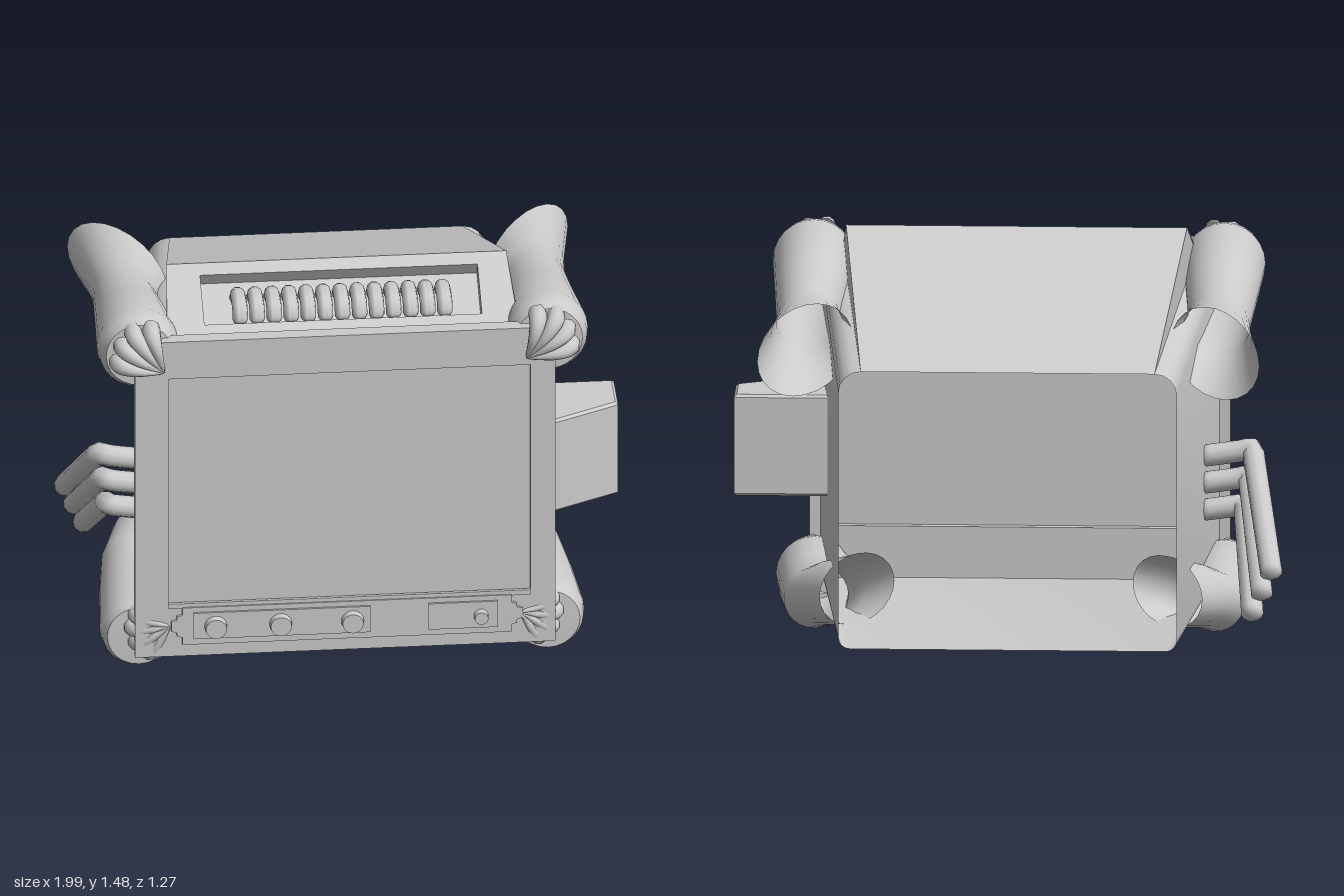
import * as THREE from 'three';
import { toCreasedNormals } from 'three/addons/utils/BufferGeometryUtils.js';

const mat = new THREE.MeshStandardMaterial({ color: 0xcccccc, side: THREE.DoubleSide });
const V = (x, y, z) => new THREE.Vector3(x, y, z);

// Skin a surface over rows of points
function loft(rows, crease = 0.7) {
  const n = rows[0].length, idx = [];
  for (let i = 0; i < rows.length - 1; i++) for (let j = 0; j < n - 1; j++) {
    const a = i * n + j, b = a + 1, c = a + n, d = c + 1;
    idx.push(a, c, b, b, c, d);
  }
  const g = new THREE.BufferGeometry().setFromPoints(rows.flat());
  g.setIndex(idx);
  return toCreasedNormals(g, crease);
}

// Round sweep along a curve, radius given by a function of 0..1
function sweep(points, radius, steps = 16, sides = 10, tension = 0.5) {
  const curve = new THREE.CatmullRomCurve3(points, false, 'catmullrom', tension);
  const fr = curve.computeFrenetFrames(steps);
  const rows = [];
  for (let i = 0; i <= steps; i++) {
    const p = curve.getPointAt(i / steps), r = radius(i / steps), row = [];
    for (let j = 0; j <= sides; j++) {
      const a = j / sides * Math.PI * 2;
      row.push(p.clone().addScaledVector(fr.normals[i], Math.cos(a) * r).addScaledVector(fr.binormals[i], Math.sin(a) * r));
    }
    rows.push(row);
  }
  return loft(rows, 1.2);
}

// Limb from circles [x, y, z, radius, shear]; shear slants the open end
function limb(rings, s) {
  return loft(rings.map(([x, y, z, r, k = 0]) => Array.from({ length: 25 }, (_, j) => {
    const a = j / 24 * Math.PI * 2, c = Math.cos(a) * r;
    return V(s * (x + c), y + Math.sin(a) * r, z - c * k);
  })), 0.9);
}

// Open-topped body cross-section with rounded corners
function section(w, wTop, bottom, top, z) {
  const half = [], rt = w - wTop, rb = 0.04;
  for (let i = 0; i <= 4; i++) {
    const a = Math.PI / 2 * (1 - i / 4);
    half.push(V(wTop + rt * Math.cos(a), top - rt + rt * Math.sin(a), z));
  }
  for (let i = 0; i <= 4; i++) {
    const a = -Math.PI / 2 * i / 4;
    half.push(V(w - rb + rb * Math.cos(a), bottom + rb + rb * Math.sin(a), z));
  }
  return [...half, ...half.map(p => V(-p.x, p.y, p.z)).reverse()];
}

const rect = (T, x0, y0, x1, y1) => new T().moveTo(x0, y0).lineTo(x1, y0).lineTo(x1, y1).lineTo(x0, y1).closePath();

export function createModel() {
  const root = new THREE.Group();
  const model = new THREE.Group();
  model.name = 'cabinet';
  model.position.x = -0.02;
  root.add(model);
  const add = (name, geo, x = 0, y = 0, z = 0, parent = model) => {
    const m = new THREE.Mesh(geo, mat);
    m.name = name;
    m.position.set(x, y, z);
    parent.add(m);
    return m;
  };
  const box = (name, w, h, d, x, y, z, parent) => add(name, new THREE.BoxGeometry(w, h, d), x, y, z, parent);

  // Body shell, open at the back
  add('bodyShell', loft([section(0.61, 0.53, 0.12, 1.147, -0.64), section(0.72, 0.64, 0.11, 1.33, 0.54)], 0.5));

  // Sloping roof, hood sides and ledge behind the front frame
  add('roof', loft([[V(-0.53, 1.147, -0.64), V(0.53, 1.147, -0.64)], [V(-0.615, 1.49, 0.21), V(0.615, 1.49, 0.21)]]));
  for (const s of [1, -1]) {
    add('hoodSide', loft([
      [V(s * 0.53, 1.147, -0.64), V(s * 0.615, 1.49, 0.21)],
      [V(s * 0.64, 1.33, 0.54), V(s * 0.64, 1.33, 0.5)]]));
  }
  add('hoodLedge', loft([[V(-0.64, 1.33, 0.5), V(0.64, 1.33, 0.5)], [V(-0.64, 1.33, 0.55), V(0.64, 1.33, 0.55)]]));

  // Hood front with a recessed vent
  const hood = new THREE.Group();
  hood.name = 'hoodFront';
  hood.position.set(0, 1.49, 0.21);
  hood.rotation.x = -Math.atan2(0.29, 0.16);
  model.add(hood);
  const face = new THREE.Shape().moveTo(-0.615, 0).lineTo(-0.64, -0.331).lineTo(0.64, -0.331).lineTo(0.615, 0).closePath();
  face.holes.push(rect(THREE.Path, -0.5, -0.27, 0.51, -0.05));
  add('hoodPanel', new THREE.ShapeGeometry(face), 0, 0, 0, hood);
  box('ventFloor', 1.01, 0.22, 0.006, 0.005, -0.16, -0.06, hood);
  for (const y of [-0.05, -0.27]) box('ventWall', 1.01, 0.006, 0.06, 0.005, y, -0.03, hood);
  for (const x of [-0.5, 0.51]) box('ventWall', 0.006, 0.22, 0.06, x, -0.16, -0.03, hood);

  // Row of curved vent ribs
  const cap = (r, e) => u => (u === 0 || u === 1) ? 0 : r * Math.min(1, Math.sqrt(Math.min(u, 1 - u) / e));
  const ribGeo = sweep([V(0, 1.35, 0.285), V(0, 1.4, 0.295), V(0, 1.408, 0.35), V(0, 1.395, 0.4), V(0, 1.34, 0.42)], cap(0.028, 0.08), 20);
  for (let i = 0; i < 13; i++) add('ventRib', ribGeo, -0.365 + i * 0.0617);

  // Front frame with an inset screen
  const frame = rect(THREE.Shape, -0.76, 0.09, 0.76, 1.37);
  frame.holes.push(rect(THREE.Path, -0.64, 0.3, 0.67, 1.22));
  add('frontFrame', new THREE.ExtrudeGeometry(frame, { depth: 0.055, bevelEnabled: false }), 0, 0, 0.53);
  box('screen', 1.33, 0.94, 0.012, 0.015, 0.76, 0.566);
  box('screenSill', 1.31, 0.02, 0.012, 0.015, 0.295, 0.584);

  // Control strip with stepped ends
  const half = [[0.595, 0.075], [0.595, 0.045], [0.615, 0.04], [0.615, 0.025], [0.635, 0.02]];
  const right = [...half, ...half.map(([x, y]) => [x, -y]).reverse()];
  const outline = [...right, ...right.map(([x, y]) => [-x, -y])].map(([x, y]) => new THREE.Vector2(x, y));
  add('controlStrip', new THREE.ExtrudeGeometry(new THREE.Shape(outline), { depth: 0.012, bevelEnabled: false }), 0.005, 0.215, 0.583);
  box('knobPlate', 0.64, 0.105, 0.012, -0.23, 0.218, 0.597);
  box('switchPlate', 0.25, 0.105, 0.012, 0.425, 0.218, 0.597);
  for (const [x, r] of [[-0.47, 0.042], [-0.235, 0.042], [0.025, 0.042], [0.49, 0.027]]) {
    add('knob', new THREE.CylinderGeometry(r * 0.9, r, 0.035, 20).rotateX(Math.PI / 2), x, 0.215, 0.612);
  }

  // Four limbs with claws gripping the frame corners
  const arm = [[0.74, 1.305, 0.555, 0], [0.74, 1.305, 0.55, 0.122], [0.74, 1.3, 0.51, 0.142], [0.74, 1.3, 0.46, 0.149],
    [0.74, 1.25, 0.18, 0.131], [0.74, 1.205, -0.08, 0.114, 0.3], [0.74, 1.185, -0.2, 0.128, 0.7], [0.74, 1.165, -0.385, 0.166, 1.12]];
  const leg = [[0.74, 0.145, 0.525, 0], [0.74, 0.145, 0.52, 0.115], [0.74, 0.143, 0.49, 0.13], [0.74, 0.143, 0.44, 0.137],
    [0.73, 0.152, 0.2, 0.127], [0.715, 0.16, 0, 0.115, 0.3], [0.66, 0.2, -0.09, 0.12, 0.6], [0.56, 0.24, -0.2, 0.13, 1]];
  const hands = [
    { tip: [0.655, 1.25, 0.592], z: 0.55, ends: [[0.7, 1.405], [0.765, 1.4], [0.805, 1.35], [0.82, 1.285]] },
    { tip: [0.635, 0.215, 0.592], z: 0.51, ends: [[0.75, 0.235], [0.765, 0.185], [0.75, 0.125], [0.705, 0.085]] }];
  for (const s of [1, -1]) {
    add('arm', limb(arm, s));
    add('leg', limb(leg, s));
    for (const { tip, z, ends } of hands) for (const [ex, ey] of ends) {
      const mix = (t, d) => V(s * (ex + (tip[0] - ex) * t), ey + (tip[1] - ey) * t, d);
      add('claw', sweep([mix(0, z - 0.02), mix(0.05, z + 0.035), mix(0.4, z + 0.06), mix(1, tip[2])],
        u => u === 1 ? 0 : 0.033 * Math.min(1, 1.15 * (1 - u) + 0.12), 14));
    }
  }

  // Angular box on one side
  const prism = new THREE.Shape().moveTo(0.66, -0.44).lineTo(1.005, -0.265).lineTo(1.005, -0.1).lineTo(0.66, -0.1).closePath();
  const prismGeo = new THREE.ExtrudeGeometry(prism, { depth: 0.355, bevelSize: 0.01, bevelThickness: 0.01, bevelSegments: 1 });
  add('sideBox', prismGeo.rotateX(-Math.PI / 2), 0, 0.52, 0);

  // Three bent pipes on the other side
  for (let i = 0; i < 3; i++) {
    const b = V(-0.855 + i * 0.015, 0.69 - i * 0.1, 0.13), e = V(-0.942 + i * 0.035, 0.32 - i * 0.075, -0.32);
    const near = b.clone().lerp(e, 0.08);
    add('sidePipe', sweep([V(-0.66, b.y - 0.03, 0.14), V(-0.8, b.y - 0.01, 0.14), b, near, b.clone().lerp(e, 0.5), e], cap(0.04, 0.02), 36));
  }
  return root;
}
